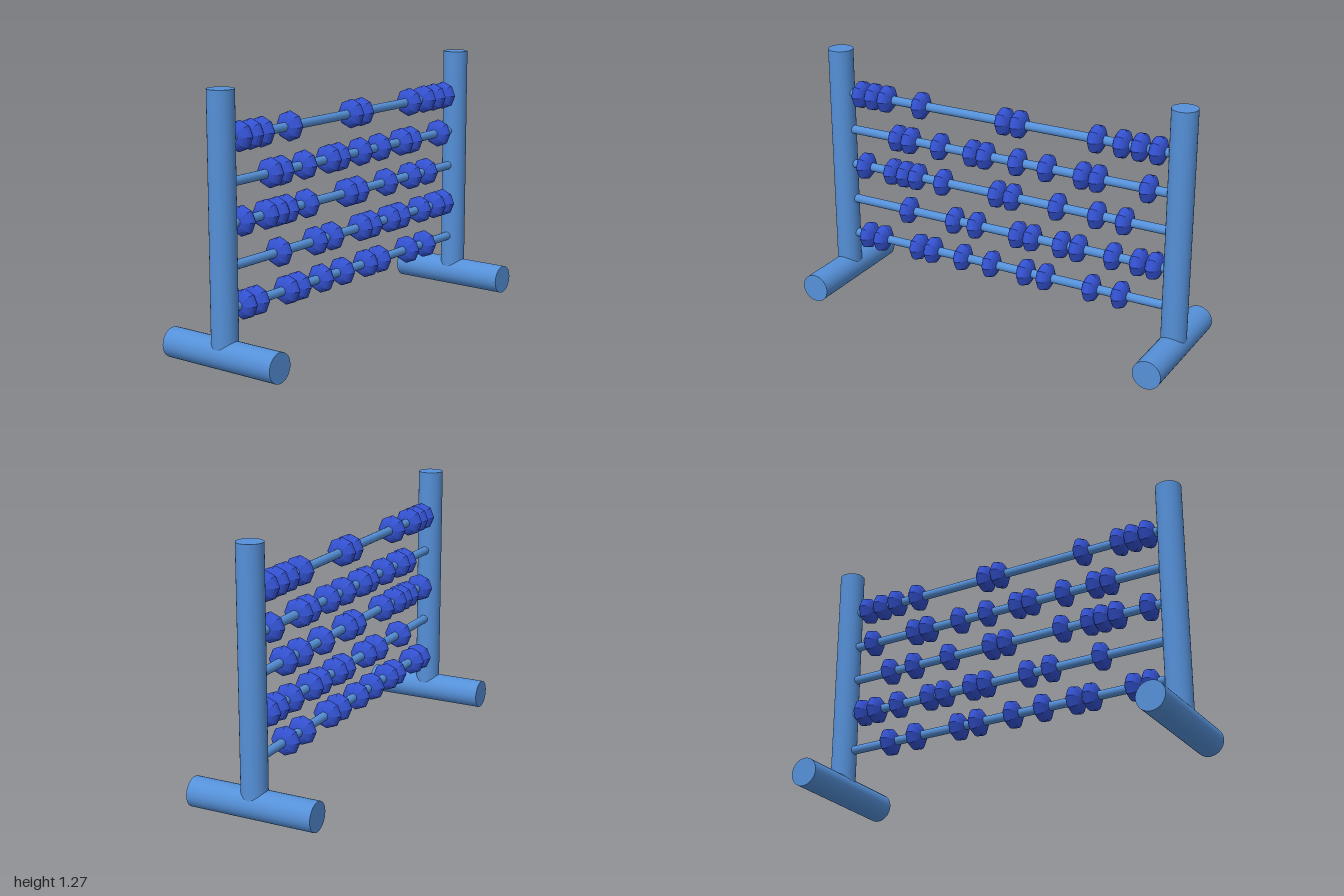
import * as THREE from 'three';

const FOOT_R = 0.072, POST_R = 0.063, ROD_R = 0.022, END_Z = 0.928, TOP = 1.275;

// Each row: rod height and the bead positions along z
const ROWS = [
  [1.05, [0.81, 0.735, 0.66, 0.46, -0.01, -0.09, -0.5, -0.63, -0.72, -0.81]],
  [0.853, [0.6, 0.525, 0.355, 0.17, 0.095, -0.08, -0.24, -0.43, -0.51, -0.77]],
  [0.665, [0.8, 0.635, 0.56, 0.49, 0.34, 0.03, -0.055, -0.3, -0.51, -0.655]],
  [0.471, [0.545, 0.275, 0.15, -0.085, -0.165, -0.325, -0.415, -0.6, -0.735, -0.815]],
  [0.277, [0.795, 0.71, 0.49, 0.405, 0.23, 0.065, -0.13, -0.24, -0.49, -0.645]],
];

export function createModel() {
  const model = new THREE.Group();
  model.name = 'abacus';

  const frameBlue = new THREE.MeshStandardMaterial({ color: 0x5590d8 });
  frameBlue.name = 'frameBlue';
  const beadBlue = new THREE.MeshStandardMaterial({ color: 0x3351d0, flatShading: true });
  beadBlue.name = 'beadBlue';

  const add = (parent, name, geometry, material, x, y, z) => {
    const mesh = new THREE.Mesh(geometry, material);
    mesh.name = name;
    mesh.position.set(x, y, z);
    parent.add(mesh);
  };

  // Upright posts standing on round crosswise feet
  const footGeo = new THREE.CylinderGeometry(FOOT_R, FOOT_R, 0.638, 32).rotateZ(Math.PI / 2);
  const postGeo = new THREE.CylinderGeometry(POST_R, POST_R, TOP - FOOT_R, 32);
  for (const [side, s] of [['front', 1], ['back', -1]]) {
    add(model, side + 'Foot', footGeo, frameBlue, 0, FOOT_R, s * END_Z);
    add(model, side + 'Post', postGeo, frameBlue, 0, (TOP + FOOT_R) / 2, s * END_Z);
  }

  // Rods spanning the posts, each threaded with flattened eight-sided beads
  const rodGeo = new THREE.CylinderGeometry(ROD_R, ROD_R, 2 * END_Z, 16).rotateX(Math.PI / 2);
  const beadGeo = new THREE.SphereGeometry(1, 8, 12).rotateX(Math.PI / 2).scale(0.074, 0.072, 0.041);
  ROWS.forEach(([y, beads], i) => {
    const row = new THREE.Group();
    row.name = 'row' + (i + 1);
    add(row, 'rod', rodGeo, frameBlue, 0, y, 0);
    for (const z of beads) add(row, 'bead', beadGeo, beadBlue, 0, y, z);
    model.add(row);
  });

  return model;
}
